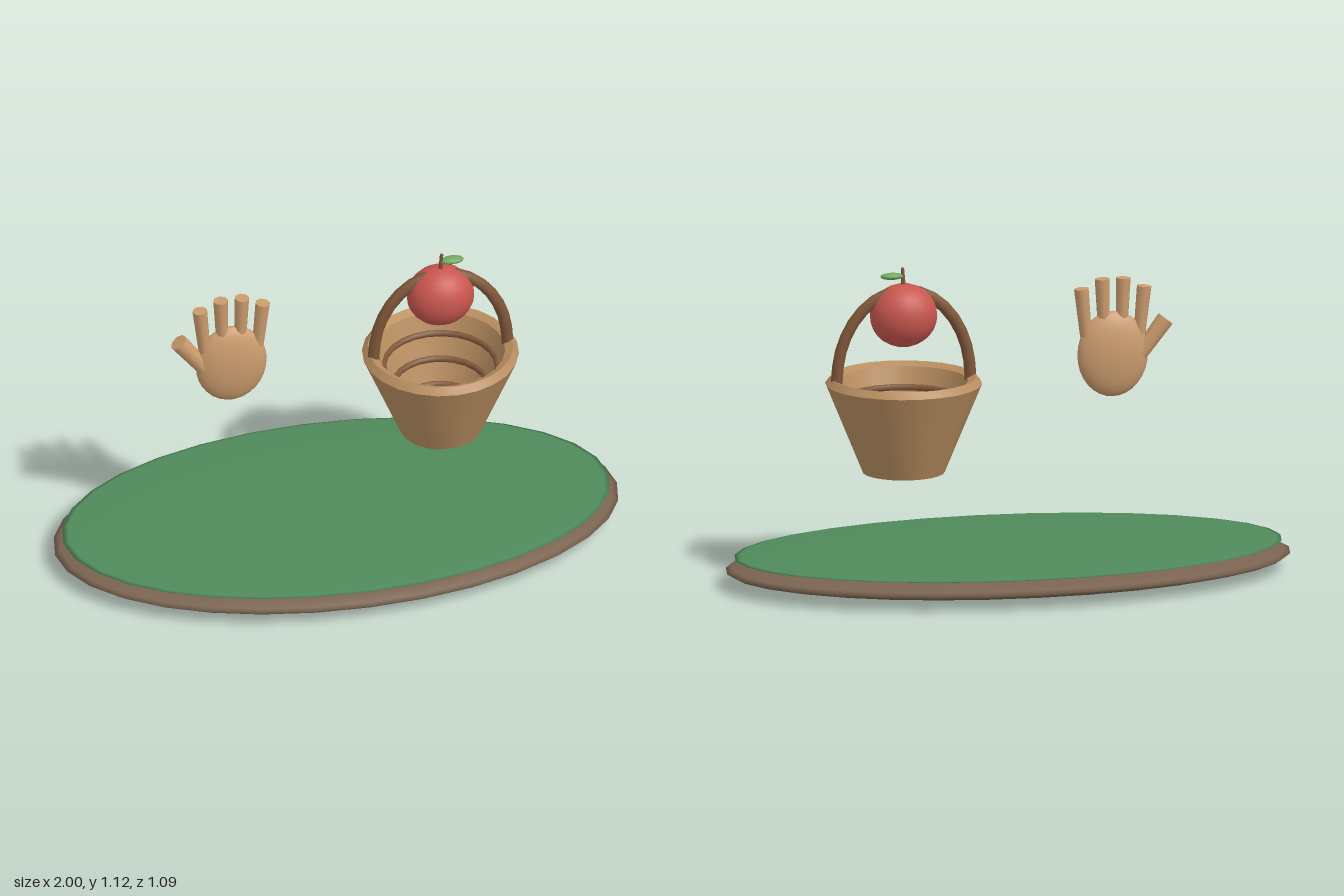
import * as THREE from 'three';
import { toCreasedNormals } from 'three/addons/utils/BufferGeometryUtils.js';

const mat = (color) => new THREE.MeshStandardMaterial({ color });
const earth = mat(0x7a6350), grass = mat(0x4f8a5b), skin = mat(0xcb9c6e);
const wicker = mat(0xb98e60), wood = mat(0x80573a), fruit = mat(0xc8564e), leafGreen = mat(0x6fa860);

function add(parent, name, geometry, material, x = 0, y = 0, z = 0) {
  const mesh = new THREE.Mesh(geometry, material);
  mesh.name = name;
  mesh.position.set(x, y, z);
  parent.add(mesh);
  return mesh;
}

const ellipsoid = (rx, ry, rz, w = 24, h = 16) => new THREE.SphereGeometry(1, w, h).scale(rx, ry, rz);

// Tapered stick running between two points in the xy plane
function stick(parent, name, material, [x0, y0], [x1, y1], rBottom, rTop, sides = 8) {
  const length = Math.hypot(x1 - x0, y1 - y0);
  const mesh = add(parent, name, new THREE.CylinderGeometry(rTop, rBottom, length, sides), material,
    (x0 + x1) / 2, (y0 + y1) / 2);
  mesh.rotation.z = -Math.atan2(x1 - x0, y1 - y0);
  return mesh;
}

function createIsland() {
  const island = new THREE.Group();
  island.name = 'island';
  add(island, 'earth', ellipsoid(1, 0.058, 0.546, 32), earth, 0, 0.06);
  add(island, 'grass', ellipsoid(0.97, 0.016, 0.523, 32), grass, 0, 0.105);
  return island;
}

function createHand() {
  const hand = new THREE.Group();
  hand.name = 'hand';
  hand.position.x = -0.373;
  add(hand, 'palm', ellipsoid(0.126, 0.152, 0.046), skin, 0, 0.778);
  // Four fingers, slightly fanned, the middle two longer
  for (const [x, top] of [[-0.112, 1.014], [-0.038, 1.046], [0.038, 1.046], [0.112, 1.014]]) {
    stick(hand, 'finger', skin, [x * 0.85, top - 0.17], [x, top], 0.021, 0.026);
  }
  stick(hand, 'thumb', skin, [-0.095, 0.77], [-0.188, 0.893], 0.028, 0.032);
  return hand;
}

function createBasket() {
  const basket = new THREE.Group();
  basket.name = 'basket';
  basket.position.x = 0.372;

  // Tapered bowl with a bevelled rim and a hollow inside
  const profile = [
    [0, 0.395], [0.143, 0.395], [0.273, 0.71], [0.253, 0.734],
    [0.225, 0.72], [0.113, 0.425], [0, 0.425],
  ].map(([r, y]) => new THREE.Vector2(r, y));
  add(basket, 'bowl', toCreasedNormals(new THREE.LatheGeometry(profile, 24), 0.5), wicker);

  // Woven bands along the inner wall
  for (const [r, y] of [[0.2, 0.65], [0.167, 0.565], [0.135, 0.48]]) {
    add(basket, 'wovenBand', new THREE.TorusGeometry(r, 0.012, 8, 24).rotateX(Math.PI / 2), wood, 0, y);
  }

  // Arched handle, its ends sunk into the rim
  const arch = [];
  for (let i = 0; i <= 12; i++) {
    const a = Math.PI * i / 12;
    arch.push(new THREE.Vector3(-0.238 * Math.cos(a), 0.725 + 0.315 * Math.sin(a), 0));
  }
  add(basket, 'handle', new THREE.TubeGeometry(new THREE.CatmullRomCurve3(arch), 16, 0.021, 8), wood);
  for (const s of [-1, 1]) {
    add(basket, 'handleEnd', new THREE.CylinderGeometry(0.021, 0.021, 0.02, 8), wood, s * 0.238, 0.72);
  }
  return basket;
}

function createApple() {
  const apple = new THREE.Group();
  apple.name = 'apple';
  apple.position.x = 0.372;
  add(apple, 'fruit', ellipsoid(0.119, 0.112, 0.099, 20, 14), fruit, 0, 0.952);
  stick(apple, 'stem', wood, [0, 1.04], [0.004, 1.12], 0.009, 0.006);
  add(apple, 'leaf', ellipsoid(0.042, 0.012, 0.022, 12, 8), leafGreen, 0.041, 1.092);
  return apple;
}

export function createModel() {
  const model = new THREE.Group();
  model.name = 'appleBasketScene';
  model.add(createIsland(), createHand(), createBasket(), createApple());
  return model;
}
